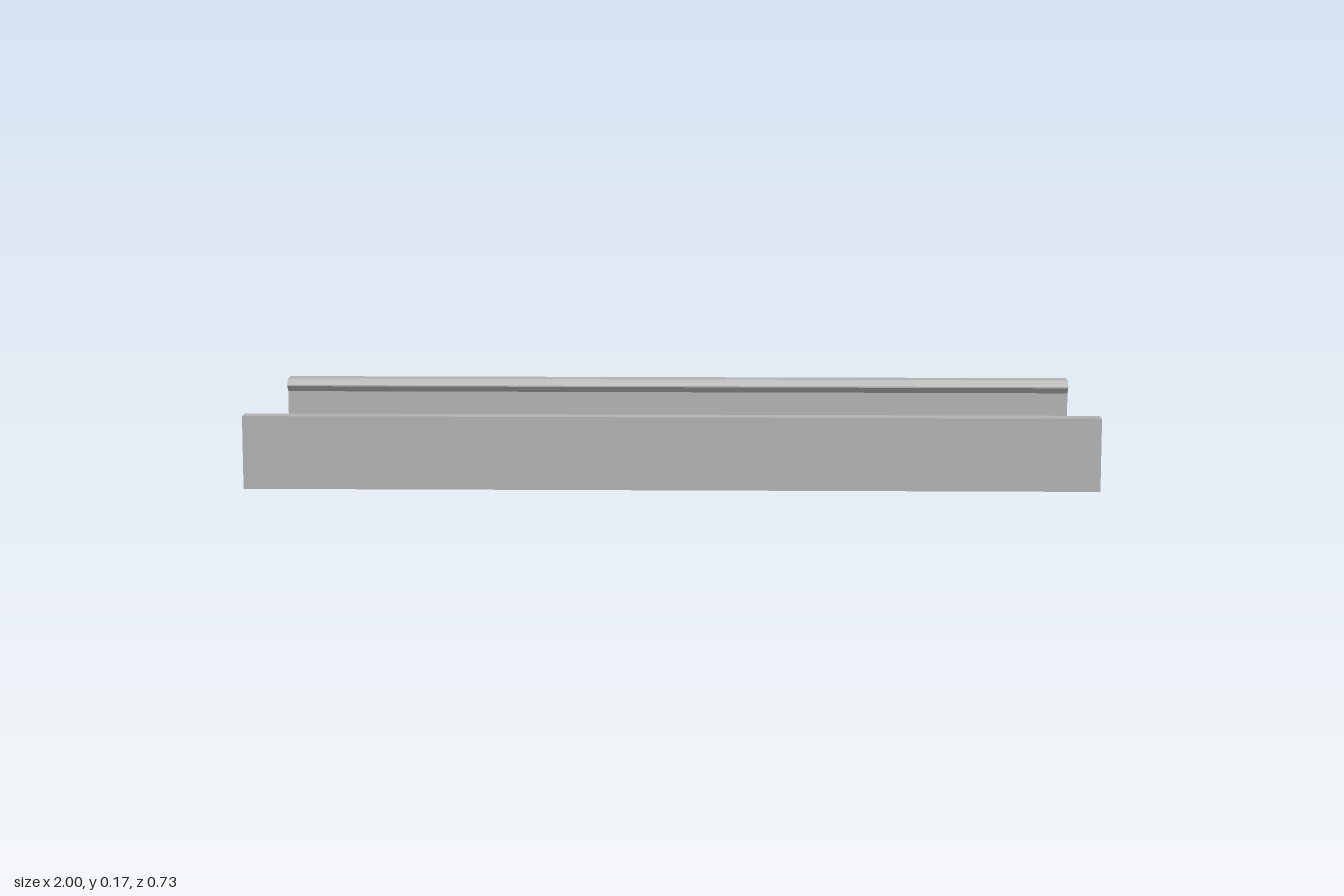
import * as THREE from 'three';
import { toCreasedNormals } from 'three/addons/utils/BufferGeometryUtils.js';

const LENGTH = 2, HALF_DEPTH = 0.367, INNER = 0.32;
const HEIGHT = 0.172, FLOOR = 0.049, LEDGE = 0.025;
const HOLE_SPACING = 0.372, HOLE_RADIUS = 0.145, RECESS_RADIUS = 0.18;

// Flat slab with a row of five round holes
function perforatedSlab(radius, y, thickness) {
  const shape = new THREE.Shape([
    new THREE.Vector2(-LENGTH / 2, -INNER), new THREE.Vector2(LENGTH / 2, -INNER),
    new THREE.Vector2(LENGTH / 2, INNER), new THREE.Vector2(-LENGTH / 2, INNER),
  ]);
  for (let i = -2; i <= 2; i++) {
    shape.holes.push(new THREE.Path().absarc(i * HOLE_SPACING, 0, radius, 0, Math.PI * 2, true));
  }
  const geometry = new THREE.ExtrudeGeometry(shape, { depth: thickness, bevelEnabled: false, curveSegments: 64 });
  geometry.rotateX(-Math.PI / 2).translate(0, y, 0);
  return toCreasedNormals(geometry, 0.6);
}

// Side wall with a pointed retaining lip along its inner top edge
function lippedWall(side) {
  const profile = [
    [HALF_DEPTH, 0], [HALF_DEPTH, HEIGHT], [INNER, HEIGHT],
    [0.304, 0.157], [0.304, 0.154], [INNER, 0.139], [INNER, 0],
  ];
  const shape = new THREE.Shape(profile.map(([z, y]) => new THREE.Vector2(-side * z, y)));
  const geometry = new THREE.ExtrudeGeometry(shape, { depth: LENGTH, bevelEnabled: false });
  return geometry.translate(0, 0, -LENGTH / 2).rotateY(Math.PI / 2);
}

export function createModel() {
  const group = new THREE.Group();
  group.name = 'perforatedChannel';
  const grey = new THREE.MeshStandardMaterial({ color: 0xb0b0b0 });
  grey.name = 'grey';

  const add = (name, geometry) => {
    const mesh = new THREE.Mesh(geometry, grey);
    mesh.name = name;
    group.add(mesh);
  };

  // Floor: narrow holes below, wider recesses above
  add('lowerFloor', perforatedSlab(HOLE_RADIUS, 0, LEDGE));
  add('recessedFloor', perforatedSlab(RECESS_RADIUS, LEDGE, FLOOR - LEDGE));

  // Mirrored side walls
  add('frontWall', lippedWall(1));
  add('backWall', lippedWall(-1));
  return group;
}
